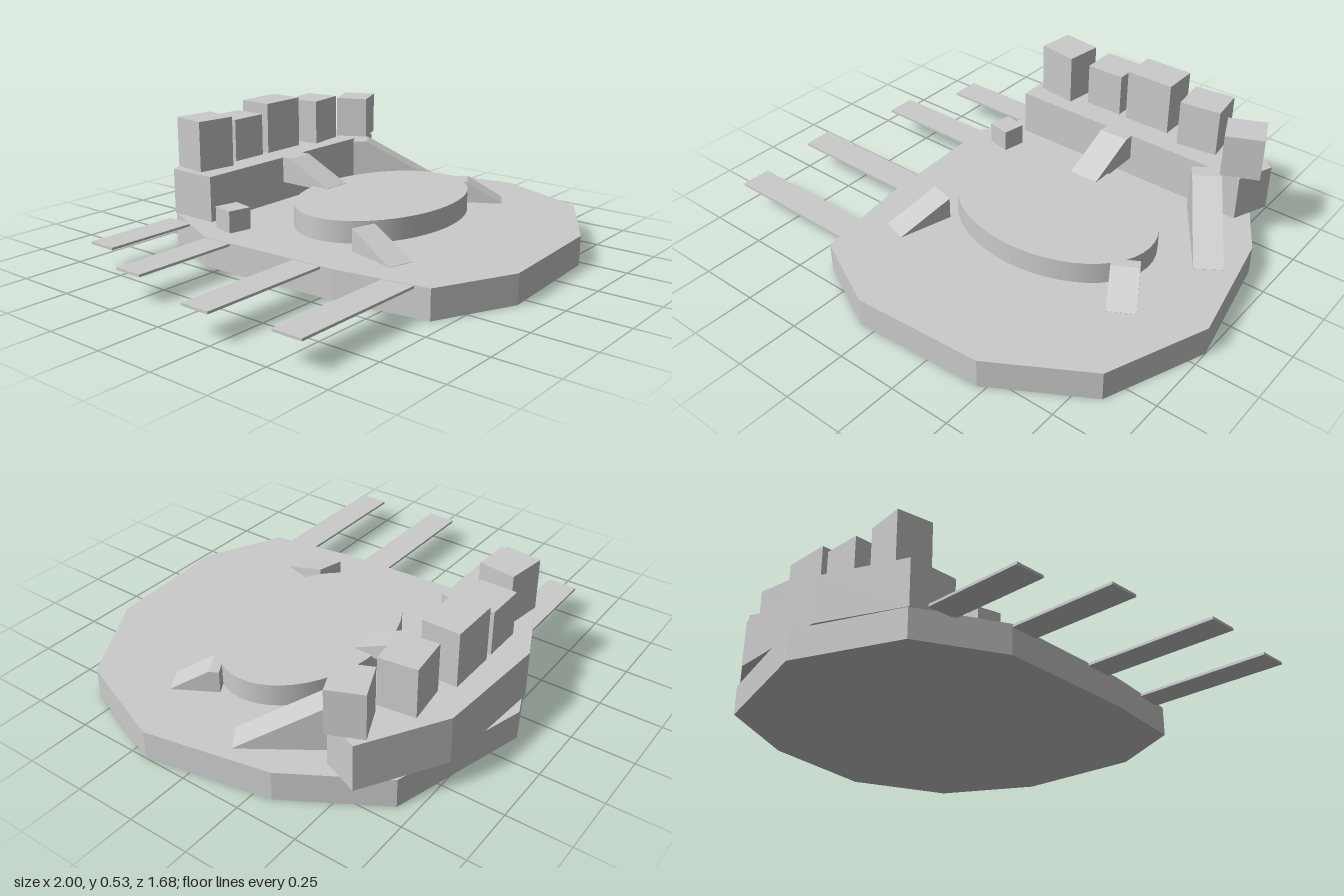
import * as THREE from 'three';

const mat = new THREE.MeshStandardMaterial({ color: 0xcccccc, flatShading: true });
const smoothMat = new THREE.MeshStandardMaterial({ color: 0xcccccc });

// Upright prism from a plan outline of [x, z] points
function prism(name, points, y, height) {
  const shape = new THREE.Shape(points.map(([x, z]) => new THREE.Vector2(x, -z)));
  const geo = new THREE.ExtrudeGeometry(shape, { depth: height, bevelEnabled: false });
  geo.rotateX(-Math.PI / 2).translate(0, y, 0);
  const mesh = new THREE.Mesh(geo, mat);
  mesh.name = name;
  return mesh;
}

// Box given its centre in plan, size, bottom, top and turn
function block(name, x, z, w, d, y0, y1, turn = 0) {
  const mesh = new THREE.Mesh(new THREE.BoxGeometry(w, y1 - y0, d), mat);
  mesh.position.set(x, (y0 + y1) / 2, z);
  mesh.rotation.y = turn;
  mesh.name = name;
  return mesh;
}

// Wedge running down from its high edge [x, z] to its low edge, with a short flat landing behind
function ramp(name, high, low, width, yBase, yLow, yHigh, landing) {
  const dx = low[0] - high[0], dz = low[1] - high[1];
  const run = Math.hypot(dx, dz);
  const side = new THREE.Shape([
    [-landing, yBase], [run, yBase], [run, yLow], [0, yHigh], [-landing, yHigh],
  ].map(([u, v]) => new THREE.Vector2(u, v)));
  const geo = new THREE.ExtrudeGeometry(side, { depth: width, bevelEnabled: false });
  geo.translate(0, 0, -width / 2);
  const mesh = new THREE.Mesh(geo, mat);
  mesh.position.set(high[0], 0, high[1]);
  mesh.rotation.y = Math.atan2(-dz, dx);
  mesh.name = name;
  return mesh;
}

export function createModel() {
  const group = new THREE.Group();
  group.name = 'harbourIsland';

  // Ground slab
  group.add(prism('base', [
    [0.12, -0.84], [0.68, -0.685], [0.9, -0.32], [1, 0.18], [0.84, 0.59], [0.47, 0.81],
    [-0.06, 0.84], [-0.38, 0.685], [-0.44, 0.3], [-0.47, -0.32], [-0.31, -0.66],
  ], 0, 0.12));

  // Raised terrace at the back, overhanging the slab
  group.add(prism('terrace', [
    [-0.315, -0.445], [0.75, -0.445], [0.81, -0.595], [0.5, -0.78], [0.02, -0.81], [-0.315, -0.66],
  ], 0.12, 0.19));

  // Oval plaza
  const plaza = new THREE.Mesh(new THREE.CylinderGeometry(1, 1, 0.09, 48), smoothMat);
  plaza.scale.set(0.435, 1, 0.31);
  plaza.position.set(0.215, 0.165, 0.03);
  plaza.name = 'plaza';
  group.add(plaza);

  // Ramps
  group.add(
    ramp('terraceRamp', [0.185, -0.405], [0.185, -0.195], 0.125, 0.2, 0.211, 0.31, 0.05),
    ramp('sideRamp', [0.64, -0.385], [0.835, -0.1], 0.115, 0.12, 0.121, 0.311, 0.06),
    ramp('leftPlazaRamp', [0.64, 0.175], [0.715, 0.305], 0.11, 0.12, 0.121, 0.21, 0.04),
    ramp('rightPlazaRamp', [-0.19, 0.245], [-0.25, 0.465], 0.107, 0.12, 0.121, 0.21, 0),
  );

  // Row of buildings on the terrace: x, z, width, depth, top, turn
  [
    [-0.19, -0.597, 0.168, 0.153, 0.52, -0.13],
    [0.028, -0.628, 0.165, 0.147, 0.49, 0],
    [0.247, -0.628, 0.205, 0.15, 0.53, 0],
    [0.497, -0.597, 0.17, 0.15, 0.505, 0.13],
    [0.718, -0.517, 0.155, 0.142, 0.49, 0.42],
  ].forEach(([x, z, w, d, top, turn], i) =>
    group.add(block(`building${i + 1}`, x, z, w, d, 0.31, top, turn)));

  // Small hut beside the terrace
  group.add(block('hut', -0.317, -0.317, 0.1, 0.097, 0.12, 0.21, -0.2));

  // Thin piers: outer x, inner x, centre z
  [
    [-0.78, -0.375, -0.565], [-0.91, -0.44, -0.255], [-1, -0.43, 0.183], [-0.97, -0.39, 0.56],
  ].forEach(([x0, x1, z], i) =>
    group.add(block(`pier${i + 1}`, (x0 + x1) / 2, z, x1 - x0, 0.125, 0.108, 0.118)));

  return group;
}
